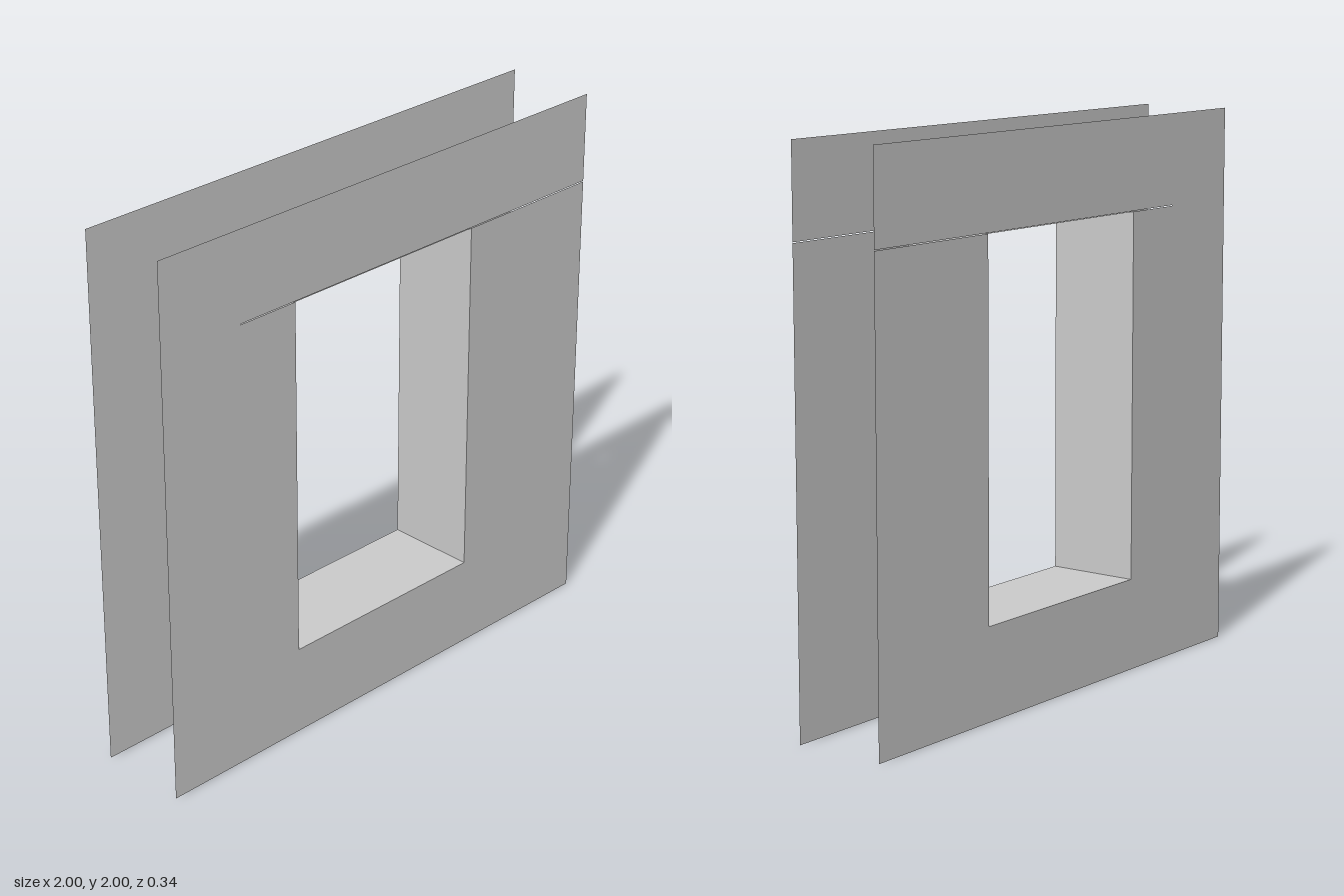
import * as THREE from 'three';

const W = 1, H = 2;                 // half width and height of the wall
const OX = 0.418;                   // half width of the opening
const Y0 = 0.336, Y1 = 1.668;       // sill and head heights
const Z = 0.17;                     // half depth between the two skins
const SEAM = 0.003;                 // hairline joint between panels

export function createModel() {
  const group = new THREE.Group();
  const material = new THREE.MeshStandardMaterial({
    color: 0xcccccc, side: THREE.DoubleSide, flatShading: true,
  });

  const add = (parent, name, geometry) => {
    const mesh = new THREE.Mesh(geometry, material);
    mesh.name = name;
    parent.add(mesh);
    return mesh;
  };
  const panel = (points) =>
    new THREE.ShapeGeometry(new THREE.Shape(points.map(([x, y]) => new THREE.Vector2(x, y))));
  const rect = (x0, y0, x1, y1) => panel([[x0, y0], [x1, y0], [x1, y1], [x0, y1]]);

  // Front and back skins: thin panels around the opening
  for (const side of [1, -1]) {
    const skin = new THREE.Group();
    skin.name = side > 0 ? 'frontSkin' : 'backSkin';
    add(skin, 'lowerPanel', rect(-W, 0, W, Y0));
    add(skin, 'rightPanel', rect(-W, Y0, -OX, Y1));
    add(skin, 'leftPanel', rect(OX, Y0, W, Y1));
    // The joint under the upper panel closes towards one end
    add(skin, 'upperPanel', panel([
      [-W, Y1], [-0.66, Y1], [-0.66, Y1 + SEAM], [W, Y1 + SEAM], [W, H], [-W, H],
    ]));
    skin.position.z = side * Z;
    // Mirror the winding so the back panels face outwards
    if (side < 0) skin.scale.z = -1;
    group.add(skin);
  }

  // Reveal lining the opening, joining both skins
  const midY = (Y0 + Y1) / 2;
  for (const side of [1, -1]) {
    const jamb = add(group, side > 0 ? 'leftJamb' : 'rightJamb',
      new THREE.PlaneGeometry(2 * Z, Y1 - Y0));
    jamb.rotation.y = -side * Math.PI / 2;
    jamb.position.set(side * OX, midY, 0);

    const slab = add(group, side > 0 ? 'head' : 'sill',
      new THREE.PlaneGeometry(2 * OX, 2 * Z));
    slab.rotation.x = side * Math.PI / 2;
    slab.position.y = side > 0 ? Y1 : Y0;
  }

  return group;
}
